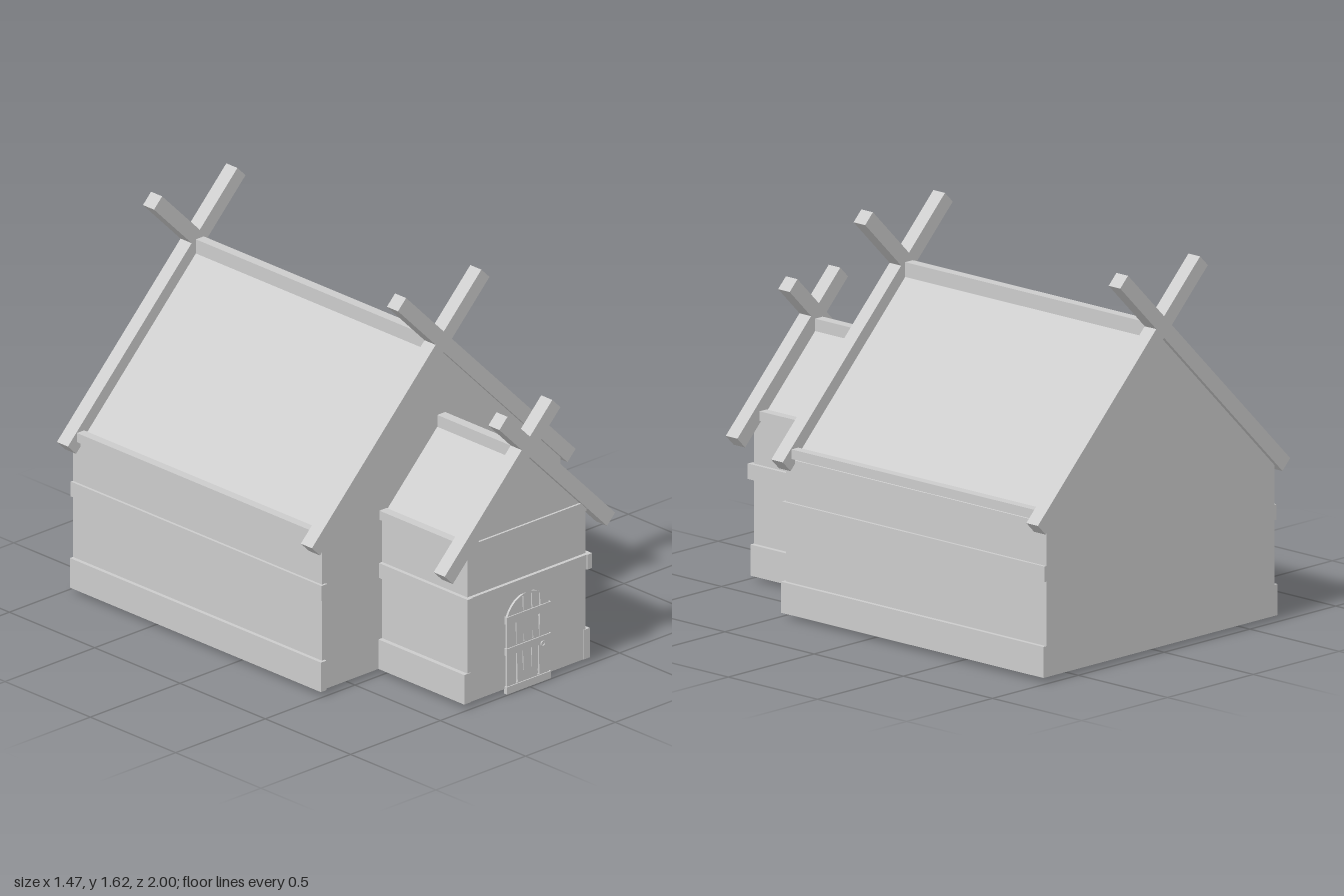
import * as THREE from 'three';

const mat = new THREE.MeshStandardMaterial({ color: 0xcccccc, flatShading: true });

function add(parent, name, geometry) {
  const mesh = new THREE.Mesh(geometry, mat);
  mesh.name = name;
  parent.add(mesh);
  return mesh;
}

// Box given by its minimum and maximum on each axis
function box(parent, name, x0, x1, y0, y1, z0, z1) {
  const mesh = add(parent, name, new THREE.BoxGeometry(x1 - x0, y1 - y0, z1 - z0));
  mesh.position.set((x0 + x1) / 2, (y0 + y1) / 2, (z0 + z1) / 2);
  return mesh;
}

// Solid hall with a 45 degree gable, extruded along z
function gabledBody(parent, name, halfWidth, apex, z0, z1) {
  const eave = apex - halfWidth;
  const shape = new THREE.Shape([
    [-halfWidth, 0.02], [halfWidth, 0.02], [halfWidth, eave], [0, apex], [-halfWidth, eave],
  ].map(([x, y]) => new THREE.Vector2(x, y)));
  const geometry = new THREE.ExtrudeGeometry(shape, { depth: z1 - z0, bevelEnabled: false });
  geometry.translate(0, 0, z0);
  add(parent, name, geometry);
}

// Pair of crossing gable beams: foot at x = -foot, tip at x = tip, axis y = x + rise
function crossedBeams(parent, name, foot, tip, rise, z0, z1) {
  const group = new THREE.Group();
  group.name = name;
  for (const side of [-1, 1]) {
    const beam = add(group, 'gableBeam',
      new THREE.BoxGeometry((foot + tip) * Math.SQRT2, 0.064, z1 - z0));
    const mid = (tip - foot) / 2;
    beam.position.set(-side * mid, mid + rise, (z0 + z1) / 2);
    beam.rotation.z = -side * Math.PI / 4;
  }
  parent.add(group);
}

function createDoor() {
  const door = new THREE.Group();
  door.name = 'door';
  const shape = new THREE.Shape();
  shape.moveTo(-0.117, 0.005);
  shape.lineTo(0.117, 0.005);
  shape.lineTo(0.117, 0.335);
  shape.quadraticCurveTo(0.085, 0.41, 0, 0.418);
  shape.quadraticCurveTo(-0.085, 0.41, -0.117, 0.335);
  // Uneven slits between the planks: x, bottom, top, width at bottom, width at top
  const slits = [
    [-0.063, 0.035, 0.165, 0.010, 0.004], [-0.066, 0.205, 0.30, 0.003, 0.006],
    [-0.066, 0.34, 0.395, 0.007, 0.010], [-0.028, 0.08, 0.165, 0.004, 0.003],
    [-0.024, 0.205, 0.24, 0.005, 0.002], [-0.028, 0.34, 0.405, 0.003, 0.007],
    [0.020, 0.08, 0.165, 0.002, 0.005], [0.026, 0.205, 0.24, 0.006, 0.002],
    [0.020, 0.34, 0.405, 0.006, 0.004], [0.058, 0.035, 0.165, 0.010, 0.005],
    [0.062, 0.205, 0.30, 0.004, 0.009], [0.065, 0.34, 0.395, 0.008, 0.003],
  ];
  for (const [x, y0, y1, w0, w1] of slits) {
    shape.holes.push(new THREE.Path([
      [x - w0 / 2, y0], [x - w1 / 2 - 0.002, y1], [x + w1 / 2 - 0.002, y1], [x + w0 / 2, y0],
    ].map(([px, py]) => new THREE.Vector2(px, py))));
  }
  const planks = new THREE.ExtrudeGeometry(shape, { depth: 0.015, bevelEnabled: false, curveSegments: 6 });
  planks.translate(0, 0, 0.975);
  add(door, 'doorPlanks', planks);
  for (const [y0, y1] of [[0, 0.032], [0.168, 0.2], [0.305, 0.338]]) {
    box(door, 'doorBatten', -0.123, 0.123, y0, y1, 0.978, 0.995);
  }
  const ring = add(door, 'doorRing', new THREE.TorusGeometry(0.01, 0.003, 6, 14));
  ring.position.set(0.075, 0.167, 0.997);
  return door;
}

export function createModel() {
  const model = new THREE.Group();
  model.name = 'timberHall';

  // Main hall and entrance porch
  gabledBody(model, 'hallBody', 0.665, 1.33, -0.98, 0.48);
  gabledBody(model, 'porchBody', 0.33, 1.01, 0.4, 0.98);

  // Ridge beams
  box(model, 'hallRidge', -0.022, 0.022, 1.3, 1.37, -0.94, 0.44);
  box(model, 'porchRidge', -0.022, 0.022, 0.97, 1.04, 0.47, 0.94);

  // Eaves and wall boards, mirrored on both long sides
  const sideBoards = [
    ['hallEave', 0.645, 0.685, 0.675, 0.715, -0.94, 0.44],
    ['hallUpperBoard', 0.645, 0.677, 0.42, 0.485, -0.98, 0.49],
    ['hallLowerBoard', 0.65, 0.682, 0.02, 0.15, -0.98, 0.492],
    ['porchEave', 0.305, 0.345, 0.675, 0.715, 0.47, 0.94],
    ['porchUpperBoard', 0.32, 0.347, 0.42, 0.485, 0.47, 1.0],
    ['porchLowerBoard', 0.315, 0.35, 0.02, 0.15, 0.47, 0.983],
  ];
  for (const [name, x0, x1, ...rest] of sideBoards) {
    box(model, name, x0, x1, ...rest);
    box(model, name, -x1, -x0, ...rest);
  }

  // Boards across the porch front
  box(model, 'porchFrontBoard', -0.33, 0.33, 0.42, 0.485, 0.97, 0.996);
  box(model, 'porchTieBoard', -0.325, 0.325, 0.675, 0.715, 0.97, 0.99);

  // Crossed beams at each gable
  crossedBeams(model, 'hallFrontBeams', 0.7125, 0.2325, 1.36, 0.43, 0.495);
  crossedBeams(model, 'hallBackBeams', 0.7125, 0.2325, 1.36, -1, -0.935);
  crossedBeams(model, 'porchBeams', 0.4525, 0.1475, 1.055, 0.935, 1);

  model.add(createDoor());
  return model;
}
